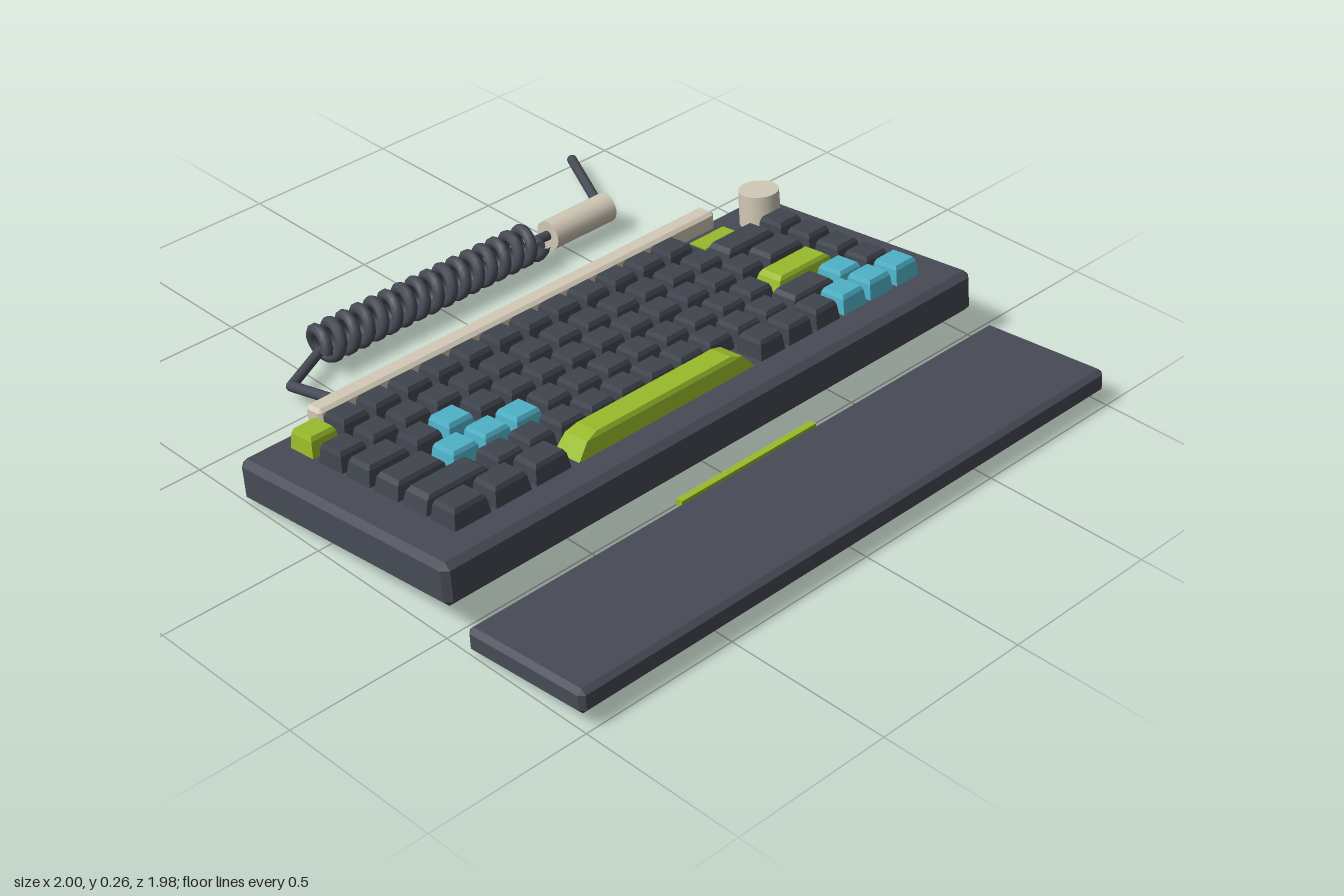
import * as THREE from 'three';
import { ConvexGeometry } from 'three/addons/geometries/ConvexGeometry.js';

const flat = (name, color) => {
  const m = new THREE.MeshStandardMaterial({ color });
  m.name = name;
  return m;
};

// Box with all edges and corners cut at 45 degrees
function chamferBox(w, h, d, c) {
  const pts = [];
  for (const x of [-1, 1]) for (const y of [-1, 1]) for (const z of [-1, 1]) {
    for (let axis = 0; axis < 3; axis++) {
      const cut = [c, c, c];
      cut[axis] = 0;
      pts.push(new THREE.Vector3(x * (w / 2 - cut[0]), y * (h / 2 - cut[1]), z * (d / 2 - cut[2])));
    }
  }
  return new ConvexGeometry(pts);
}

// Keycap standing on y = 0: sloped sides, then a steeper shoulder to a smaller top
function keycap(w, h, d) {
  const geo = new THREE.BoxGeometry(w, h, d, 1, 2, 1).toNonIndexed();
  const p = geo.attributes.position;
  for (let i = 0; i < p.count; i++) {
    const level = Math.round(p.getY(i) / h * 2) + 1;
    const s = [1, 0.88, 0.76][level];
    p.setXYZ(i, p.getX(i) * s, [0, 0.78, 1][level] * h, p.getZ(i) * s);
  }
  geo.computeVertexNormals();
  return geo;
}

// Coil running along x
class Helix extends THREE.Curve {
  constructor(x0, x1, r, turns) {
    super();
    Object.assign(this, { x0, x1, r, turns });
  }
  getPoint(t, out = new THREE.Vector3()) {
    const a = t * this.turns * Math.PI * 2;
    return out.set(this.x0 + (this.x1 - this.x0) * t, Math.sin(a) * this.r, Math.cos(a) * this.r);
  }
}

export function createModel() {
  const charcoal = flat('charcoal', 0x474b55);
  const keyGrey = flat('key grey', 0x40444d);
  const green = flat('lime green', 0x98ba2a);
  const teal = flat('teal', 0x4fb1c7);
  const beige = flat('beige', 0xd2cab7);

  const model = new THREE.Group();
  model.name = 'keyboardSet';
  const add = (parent, name, geo, mat, x = 0, y = 0, z = 0) => {
    const mesh = new THREE.Mesh(geo, mat);
    mesh.name = name;
    mesh.position.set(x, y, z);
    parent.add(mesh);
    return mesh;
  };

  // Keyboard, raised at the front
  const keyboard = new THREE.Group();
  keyboard.name = 'keyboard';
  keyboard.position.set(0, 0.111, 0.093);
  keyboard.rotation.x = -THREE.MathUtils.degToRad(6.5);
  model.add(keyboard);
  const top = 0.0635;
  add(keyboard, 'case', chamferBox(2, 0.127, 0.829, 0.018), charcoal);

  // Key rows, back to front: widths in key units, coloured keys by index
  const ones = n => Array(n).fill(1);
  const rows = [
    { z: -0.3, h: 0.06, keys: ones(13), green: [0] },
    { z: -0.179, h: 0.059, keys: [...ones(13), 2, 1] },
    { z: -0.068, h: 0.057, keys: [1.5, ...ones(12), 1.5, 1], teal: [2] },
    { z: 0.043, h: 0.052, keys: [1.75, ...ones(11), 2.25, 1], green: [12], teal: [1, 2, 3] },
    { z: 0.154, h: 0.051, keys: [2.25, ...ones(10), 1.75, 1, 1], teal: [12] },
    { z: 0.265, h: 0.058, keys: [1.25, 1.25, 1.25, 6.25, ...ones(6)], green: [3], teal: [7, 8, 9] },
  ];
  const unit = 0.111;
  for (const row of rows) {
    let x = -0.88;
    row.keys.forEach((n, i) => {
      const mat = row.green?.includes(i) ? green : row.teal?.includes(i) ? teal : keyGrey;
      const gap = n > 6 ? 0.036 : 0.016;
      add(keyboard, n > 6 ? 'spaceBar' : 'key', keycap(n * unit - gap, row.h, 0.095), mat,
        x + n * unit / 2, top - 0.001, row.z);
      x += n * unit;
    });
  }

  // Small display, knob and rear bar
  add(keyboard, 'displayBezel', new THREE.BoxGeometry(0.155, 0.016, 0.082), keyGrey, 0.673, top + 0.007, -0.287);
  add(keyboard, 'display', new THREE.BoxGeometry(0.138, 0.006, 0.064), green, 0.673, top + 0.017, -0.287);
  add(keyboard, 'knob', new THREE.CylinderGeometry(0.06, 0.062, 0.108, 32), beige, 0.86, top + 0.053, -0.28);
  add(keyboard, 'rearBar', chamferBox(1.51, 0.07, 0.064, 0.01), beige, 0, 0.08, -0.394);

  // Wrist rest with a green accent along its back edge
  const rest = new THREE.Group();
  rest.name = 'wristRest';
  rest.position.set(0, 0.062, 0.78);
  rest.rotation.x = -THREE.MathUtils.degToRad(5);
  model.add(rest);
  add(rest, 'restPad', chamferBox(2, 0.072, 0.413, 0.014), charcoal);
  add(rest, 'restAccent', new THREE.BoxGeometry(0.515, 0.02, 0.022), green, 0, 0.036, -0.203);

  // Cable: straight runs with round joints
  const cable = new THREE.Group();
  cable.name = 'cable';
  model.add(cable);
  const run = (...coords) => {
    const pts = coords.map(c => new THREE.Vector3(...c));
    pts.forEach((p, i) => {
      if (i > 0 && i < pts.length - 1) add(cable, 'cableJoint', new THREE.SphereGeometry(0.0155, 10, 8), charcoal, p.x, p.y, p.z);
      if (!i) return;
      const dir = p.clone().sub(pts[i - 1]);
      const mid = p.clone().add(pts[i - 1]).multiplyScalar(0.5);
      add(cable, 'cableRun', new THREE.CylinderGeometry(0.0155, 0.0155, dir.length(), 10), charcoal, mid.x, mid.y, mid.z)
        .quaternion.setFromUnitVectors(new THREE.Vector3(0, 1, 0), dir.normalize());
    });
  };
  const cy = 0.083, cz = -0.654;
  run([-0.612, 0.12, -0.31], [-0.612, 0.052, -0.585], [-0.46, 0.065, cz + 0.005]);
  add(cable, 'coil', new THREE.TubeGeometry(new Helix(-0.465, 0.37, 0.048, 16), 288, 0.0175, 8), charcoal, 0, cy, cz);
  run([0.36, cy, cz + 0.04], [0.385, cy - 0.005, cz], [0.45, cy - 0.008, cz]);
  add(cable, 'connector', new THREE.CylinderGeometry(0.046, 0.046, 0.242, 20), beige, 0.549, cy - 0.008, cz)
    .rotation.z = Math.PI / 2;
  run([0.66, 0.05, -0.645], [0.838, 0.043, -0.982]);

  return model;
}
